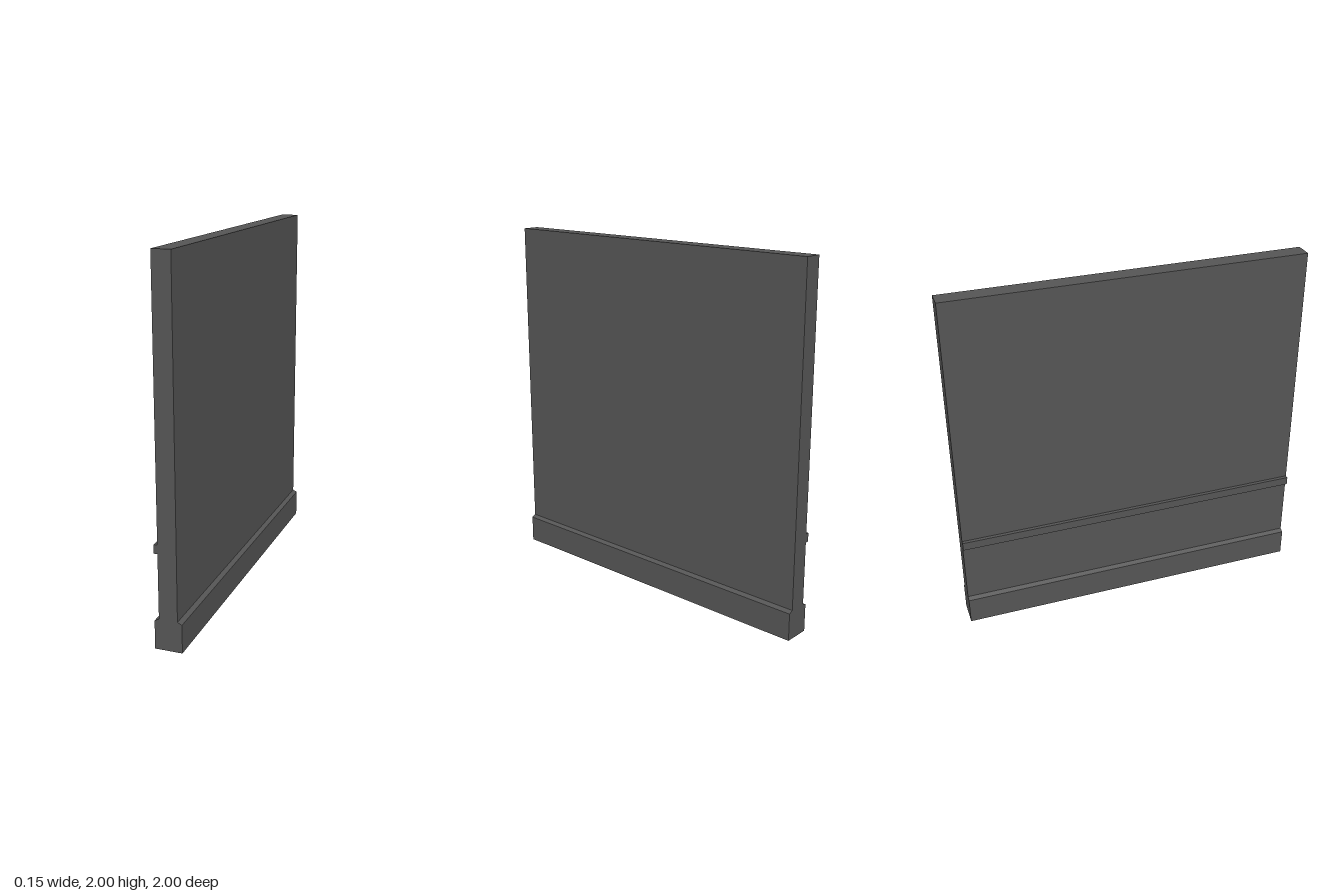
import * as THREE from 'three';

const LENGTH = 2;
const material = new THREE.MeshStandardMaterial({ color: 0x555555, flatShading: true });

// Extrudes an x/y cross-section along the full length of the wall
function extrudeAlongWall(name, points) {
  const shape = new THREE.Shape(points.map(([x, y]) => new THREE.Vector2(x, y)));
  const geometry = new THREE.ExtrudeGeometry(shape, { depth: LENGTH, bevelEnabled: false });
  geometry.translate(0, 0, -LENGTH / 2);
  const mesh = new THREE.Mesh(geometry, material);
  mesh.name = name;
  return mesh;
}

export function createModel() {
  const model = new THREE.Group();
  model.name = 'wallSection';

  const wall = 0.05;   // half thickness of the panel
  const base = 0.074;  // half thickness of the plinth
  const baseTop = 0.167;

  // Tall flat panel standing on the plinth
  model.add(extrudeAlongWall('wallPanel', [
    [-wall, baseTop], [wall, baseTop], [wall, 2], [-wall, 2],
  ]));

  // Plinth with sloped shoulders on both sides
  model.add(extrudeAlongWall('basePlinth', [
    [-base, 0], [base, 0], [base, 0.155], [wall, baseTop], [-wall, baseTop], [-base, 0.155],
  ]));

  // Narrow rail on the -x face only
  model.add(extrudeAlongWall('sideRail', [
    [-0.07, 0.517], [-wall, 0.517], [-wall, 0.565], [-0.07, 0.565],
  ]));

  return model;
}
